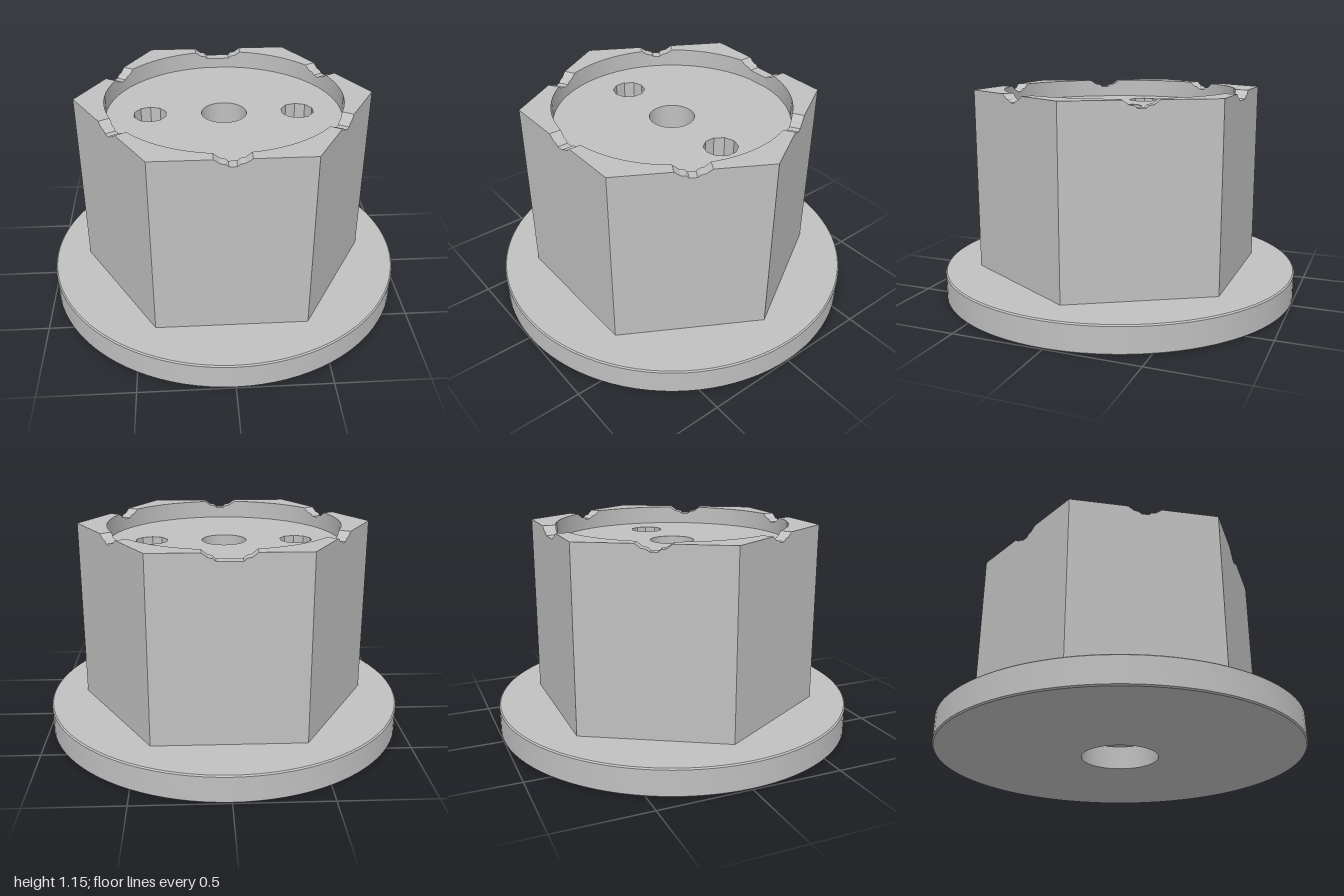
import * as THREE from 'three';
import { toCreasedNormals } from 'three/addons/utils/BufferGeometryUtils.js';

const APOTHEM = 0.697, HALF_SIDE = APOTHEM / Math.sqrt(3);
const RECESS_R = 0.64, BASE_Y = 0.15, FLOOR_Y = 1.05, TOP_Y = 1.15;
const BORE_R = 0.122, BORE_SEGS = 48, PEG_R = 0.09, PEG_SEGS = 10;

// Turned surface from [radius, height] pairs, keeping its edges sharp
function turned(points, segments, crease = 0.6) {
  const geo = new THREE.LatheGeometry(points.map(([r, y]) => new THREE.Vector2(r, y)), segments);
  return toCreasedNormals(geo, crease);
}

// Polygon hole that matches a turned wall of the same radius
function ringPath(x, r, n) {
  const pts = [];
  for (let i = 0; i < n; i++) {
    const a = (i / n) * Math.PI * 2;
    pts.push(new THREE.Vector2(x + Math.sin(a) * r, Math.cos(a) * r));
  }
  return new THREE.Path(pts);
}

// One side of the hexagon: outer wall, notched rim and recess wall.
// notch lists [distance from the middle of the side, rim height].
function hexSide(notch) {
  const stations = [];
  const edge = notch[notch.length - 1][0];
  const arcEnd = RECESS_R / 2;
  const right = notch.map(([s, y]) => [s, s, y]);
  for (let i = 1; i <= 6; i++) {
    const t = i / 6;
    right.push([edge + (HALF_SIDE - edge) * t, edge + (arcEnd - edge) * t, TOP_Y]);
  }
  for (const [s, q, y] of right.slice().reverse()) stations.push([-s, -q, y]);
  stations.push(...right);

  const sections = stations.map(([s, q, y]) => {
    const d = Math.sqrt(RECESS_R * RECESS_R - q * q);
    return [[s, BASE_Y, APOTHEM], [s, y, APOTHEM], [q, y, d], [q, FLOOR_Y, d]];
  });
  const pos = [];
  for (let i = 0; i < sections.length - 1; i++) {
    const a = sections[i], b = sections[i + 1];
    for (let j = 0; j < 3; j++) {
      pos.push(...a[j], ...b[j], ...b[j + 1], ...a[j], ...b[j + 1], ...a[j + 1]);
    }
  }
  const geo = new THREE.BufferGeometry();
  geo.setAttribute('position', new THREE.Float32BufferAttribute(pos, 3));
  return toCreasedNormals(geo, 0.3);
}

export function createModel() {
  const group = new THREE.Group();
  group.name = 'hexSocket';
  const grey = new THREE.MeshStandardMaterial({ color: 0xc0c0c0 });
  grey.name = 'plainGrey';
  const add = (name, geo) => {
    const mesh = new THREE.Mesh(geo, grey);
    mesh.name = name;
    group.add(mesh);
    return mesh;
  };

  // Round flange with its central bore and wider counterbore underneath
  add('flangeAndBore', turned([
    [BORE_R, FLOOR_Y], [BORE_R, 0.13], [0.21, 0.13], [0.21, 0],
    [0.993, 0], [1, 0.007], [1, BASE_Y - 0.007], [0.993, BASE_Y], [0.4, BASE_Y],
  ], BORE_SEGS * 2));

  // Six walls of the hexagonal body, each with a stepped notch in its rim
  const narrowNotch = [[0.02, 1.11], [0.035, 1.123], [0.06, 1.127], [0.092, TOP_Y]];
  const wideNotch = [[0.065, 1.108], [0.08, 1.122], [0.105, 1.127], [0.135, TOP_Y]];
  for (let k = 0; k < 6; k++) {
    const side = add('hexSide' + (k + 1), hexSide(k === 3 ? wideNotch : narrowNotch));
    side.rotation.y = (k * Math.PI) / 3;
  }

  // Recess floor with the bore and two peg holes
  const floor = new THREE.Shape(ringPath(0, RECESS_R + 0.005, 96).getPoints());
  floor.holes.push(ringPath(0, BORE_R, BORE_SEGS * 2));
  for (const x of [-0.4, 0.4]) floor.holes.push(ringPath(x, PEG_R, PEG_SEGS));
  const floorGeo = new THREE.ShapeGeometry(floor);
  floorGeo.rotateX(-Math.PI / 2);
  add('recessFloor', floorGeo).position.y = FLOOR_Y;

  // Blind peg holes either side of the bore
  for (const x of [-0.4, 0.4]) {
    const peg = add(x < 0 ? 'rightPegHole' : 'leftPegHole',
      turned([[PEG_R, FLOOR_Y], [PEG_R, 0.85], [0, 0.85]], PEG_SEGS, 0.3));
    peg.position.x = x;
  }
  return group;
}
